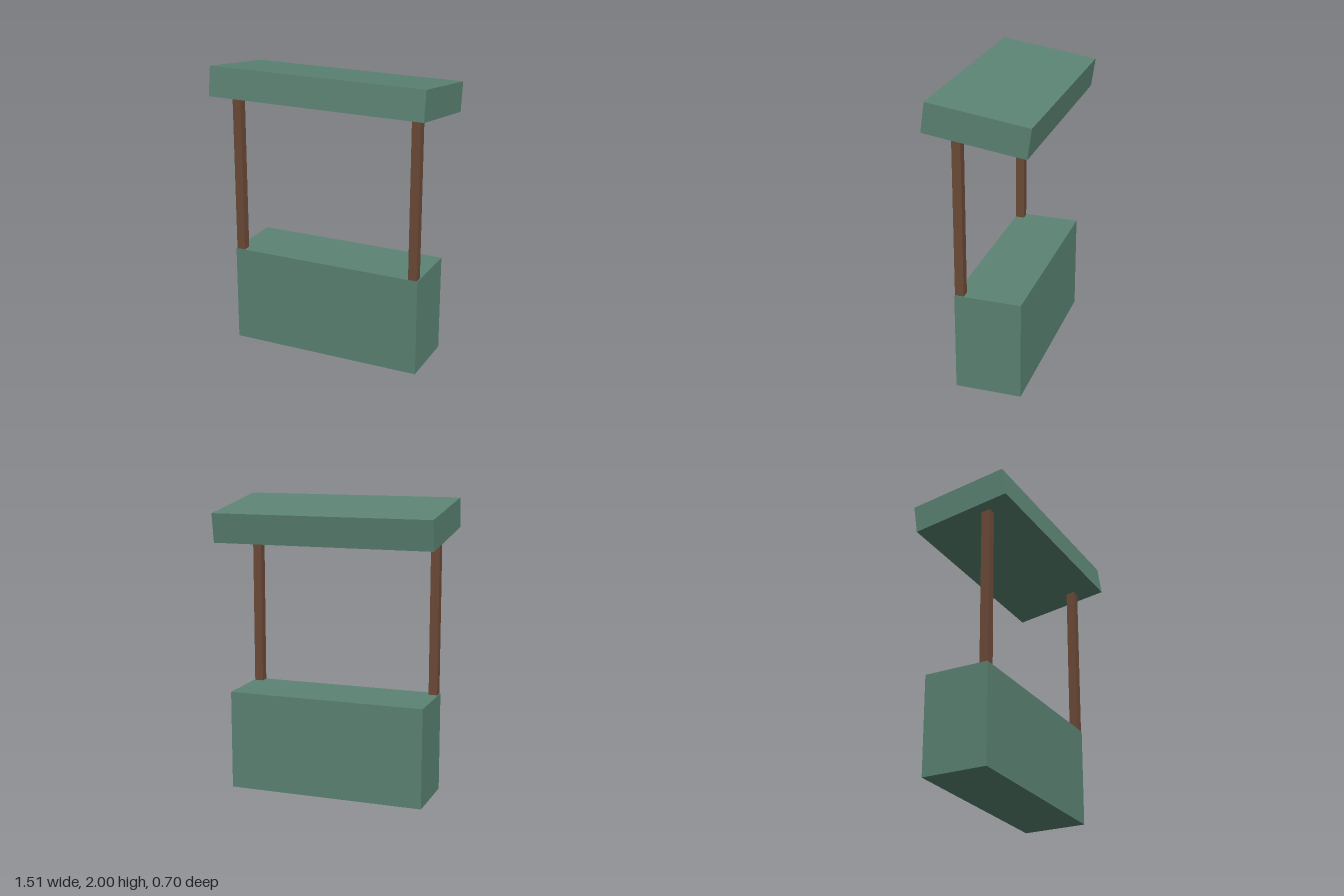
import * as THREE from 'three';

export function createModel() {
  const green = new THREE.MeshStandardMaterial({ name: 'muted green', color: 0x5c8474 });
  const brown = new THREE.MeshStandardMaterial({ name: 'wood brown', color: 0x6e4b38 });

  const model = new THREE.Group();
  model.name = 'marketStall';

  const addBox = (name, material, size, position) => {
    const mesh = new THREE.Mesh(new THREE.BoxGeometry(...size), material);
    mesh.name = name;
    mesh.position.set(...position);
    model.add(mesh);
    return mesh;
  };

  // Counter
  addBox('counter', green, [1.36, 0.68, 0.45], [0, 0.34, -0.037]);

  // Posts run from the counter top into the canopy
  for (const [name, side] of [['leftPost', 1], ['rightPost', -1]]) {
    addBox(name, brown, [0.06, 1.14, 0.06], [side * 0.643, 1.24, 0.156]);
  }

  // Canopy, sloping down towards the back
  const canopy = addBox('canopy', green, [1.51, 0.2, 0.68], [0, 1.854, 0]);
  canopy.rotation.x = -THREE.MathUtils.degToRad(8);

  return model;
}
